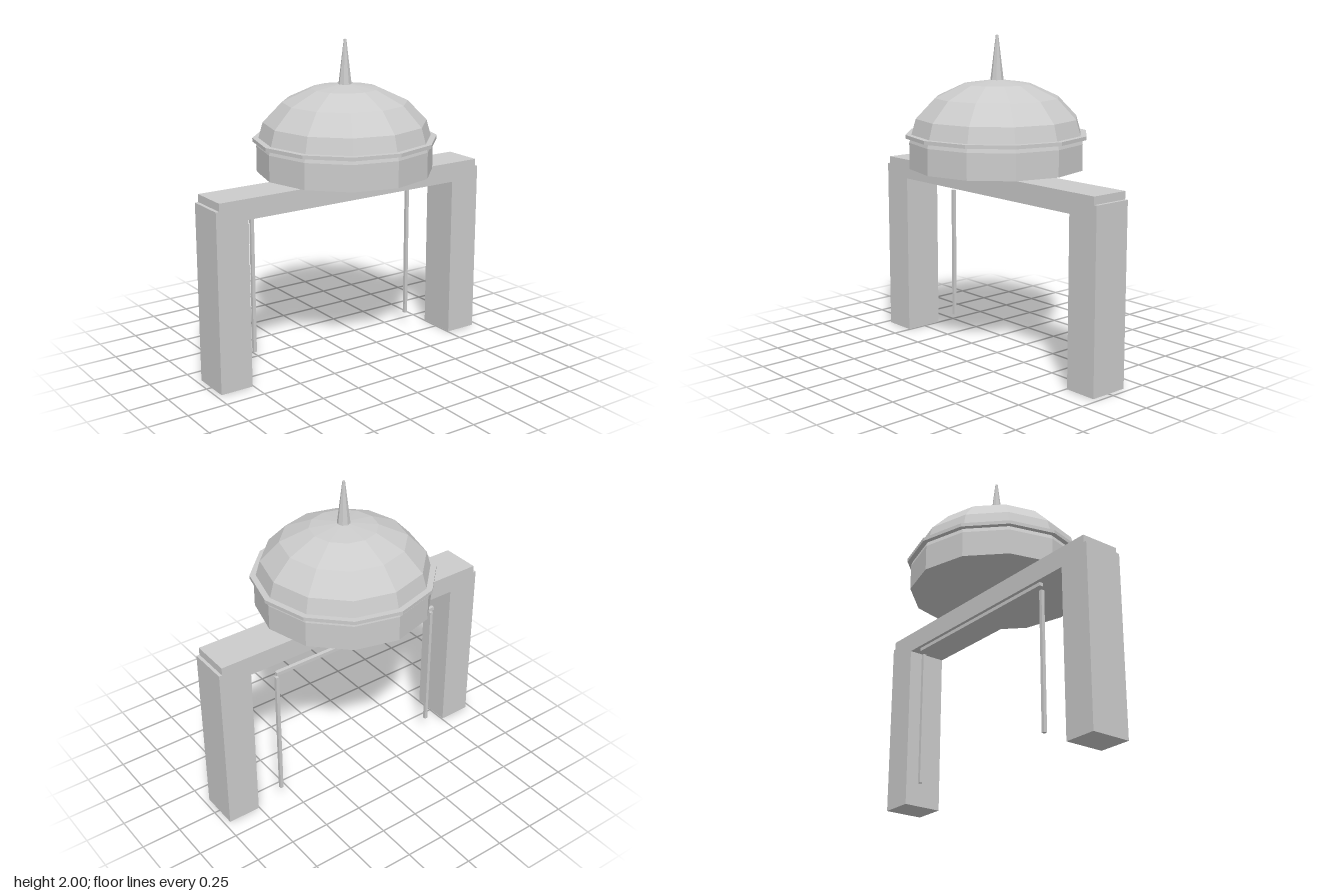
import * as THREE from 'three';

const material = new THREE.MeshStandardMaterial({ color: 0xcccccc, flatShading: true });

export function createModel() {
  const model = new THREE.Group();

  function add(name, geometry, x, y, z, parent = model) {
    const mesh = new THREE.Mesh(geometry, material);
    mesh.name = name;
    mesh.position.set(x, y, z);
    parent.add(mesh);
    return mesh;
  }

  // Box given by its minimum and maximum corners
  function addBox(name, [x0, y0, z0], [x1, y1, z1], parent) {
    return add(name, new THREE.BoxGeometry(x1 - x0, y1 - y0, z1 - z0),
      (x0 + x1) / 2, (y0 + y1) / 2, (z0 + z1) / 2, parent);
  }

  // Gateway: two pillars and the lintel across them
  const gateway = new THREE.Group();
  gateway.name = 'gateway';
  model.add(gateway);
  addBox('leftPillar', [0.755, 0, -0.127], [0.965, 1.115, 0.125], gateway);
  addBox('rightPillar', [-0.967, 0, -0.127], [-0.757, 1.115, 0.125], gateway);
  addBox('lintel', [-0.945, 1.037, -0.127], [0.945, 1.163, 0.125], gateway);

  // Thin frame behind the opening
  const frame = new THREE.Group();
  frame.name = 'rearFrame';
  model.add(frame);
  addBox('leftRod', [0.577, 0.093, -0.145], [0.598, 0.952, -0.124], frame);
  addBox('rightRod', [-0.6, 0.093, -0.145], [-0.579, 0.952, -0.124], frame);
  addBox('topRod', [-0.598, 0.975, -0.156], [0.598, 0.997, -0.132], frame);

  // Twelve-sided dome: closed drum, flattened hemisphere, band and spire
  const dome = new THREE.Group();
  dome.name = 'dome';
  model.add(dome);
  const radius = 0.54, drumTop = 1.36, rise = 0.376, sides = 12, rows = 4;
  const profile = [new THREE.Vector2(0, 1.2), new THREE.Vector2(radius, 1.2)];
  for (let i = 0; i <= rows; i++) {
    const a = (i / rows) * Math.PI / 2;
    profile.push(new THREE.Vector2(i === rows ? 0 : radius * Math.cos(a), drumTop + rise * Math.sin(a)));
  }
  add('domeShell', new THREE.LatheGeometry(profile, sides), 0, 0, 0, dome);
  add('domeBand', new THREE.CylinderGeometry(0.563, 0.563, 0.022, sides), 0, 1.398, 0, dome);
  add('spire', new THREE.CylinderGeometry(0.008, 0.041, 0.275, 8), 0, 1.8625, 0, dome);

  return model;
}
